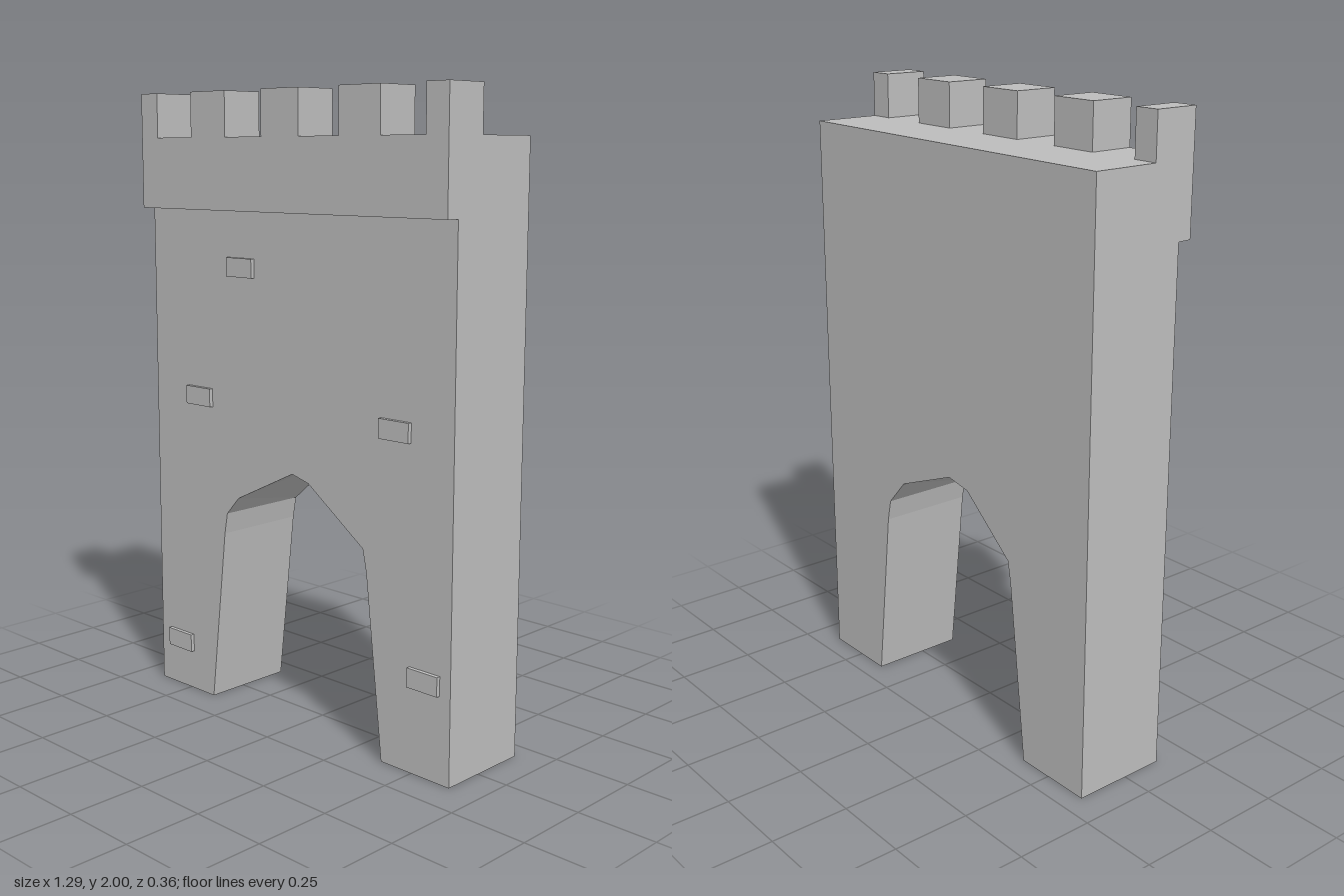
import * as THREE from 'three';

const LEFT = -0.65, RIGHT = 0.645, DECK = 1.86;
const WALL_Z = 0.135, FRONT_Z = 0.18, BACK_Z = -0.18;

// Gateway outlines, the rough-hewn arch differs slightly from front to back
const FRONT_ARCH = [[-0.385, 0], [-0.318, 0.58], [-0.305, 0.65], [-0.25, 0.71], [0, 0.83],
  [0.07, 0.812], [0.3, 0.65], [0.315, 0.58], [0.38, 0]];
const BACK_ARCH = [[-0.385, 0], [-0.318, 0.58], [-0.305, 0.65], [-0.11, 0.815], [-0.02, 0.832],
  [0.223, 0.735], [0.3, 0.65], [0.315, 0.58], [0.38, 0]];

const outline = (arch) => [[LEFT, 0], ...arch, [RIGHT, 0], [RIGHT, DECK], [LEFT, DECK]];

// Flat wall face
function face(points) {
  return new THREE.ShapeGeometry(new THREE.Shape(points.map(([x, y]) => new THREE.Vector2(x, y))));
}

// Strip of quads joining the front outline to the back outline
function sides(front, back) {
  const pos = [];
  front.forEach((a, i) => {
    const j = (i + 1) % front.length;
    const f0 = [...a, WALL_Z], f1 = [...front[j], WALL_Z];
    const b0 = [...back[i], BACK_Z], b1 = [...back[j], BACK_Z];
    pos.push(...f0, ...b0, ...f1, ...f1, ...b0, ...b1);
  });
  const geo = new THREE.BufferGeometry();
  geo.setAttribute('position', new THREE.Float32BufferAttribute(pos, 3));
  geo.computeVertexNormals();
  return geo;
}

export function createModel() {
  const model = new THREE.Group();
  model.name = 'castleGate';
  const stone = new THREE.MeshStandardMaterial({ color: 0xbcbcbc });
  stone.name = 'grey stone';

  const add = (name, geo, parent = model) => {
    const mesh = new THREE.Mesh(geo, stone);
    mesh.name = name;
    parent.add(mesh);
    return mesh;
  };
  const block = (name, x0, x1, y0, y1, z0, z1, parent) =>
    add(name, new THREE.BoxGeometry(x1 - x0, y1 - y0, z1 - z0), parent)
      .position.set((x0 + x1) / 2, (y0 + y1) / 2, (z0 + z1) / 2);

  // Wall with arched gateway
  const wall = new THREE.Group();
  wall.name = 'wall';
  model.add(wall);
  const front = outline(FRONT_ARCH), back = outline(BACK_ARCH);
  add('wallFront', face(front).translate(0, 0, WALL_Z), wall);
  add('wallBack', face(back.map(([x, y]) => [-x, y])).rotateY(Math.PI).translate(0, 0, BACK_Z), wall);
  add('wallSides', sides(front, back), wall);

  // Overhanging parapet
  block('parapet', LEFT, RIGHT, 1.635, DECK, WALL_Z, FRONT_Z);

  // Battlements
  const merlons = [[LEFT, -0.57], [-0.405, -0.245], [-0.083, 0.076], [0.24, 0.4], [0.565, RIGHT]];
  for (const [x0, x1] of merlons) block('merlon', x0, x1, DECK, 2, 0.035, FRONT_Z);

  // Raised bricks on the front
  const bricks = [[-0.225, 1.458], [-0.428, 1.027], [0.428, 1.027], [0.547, 0.3], [-0.542, 0.163]];
  for (const [x, y] of bricks)
    block('brick', x - 0.058, x + 0.058, y - 0.03, y + 0.03, 0.125, 0.148);

  return model;
}
